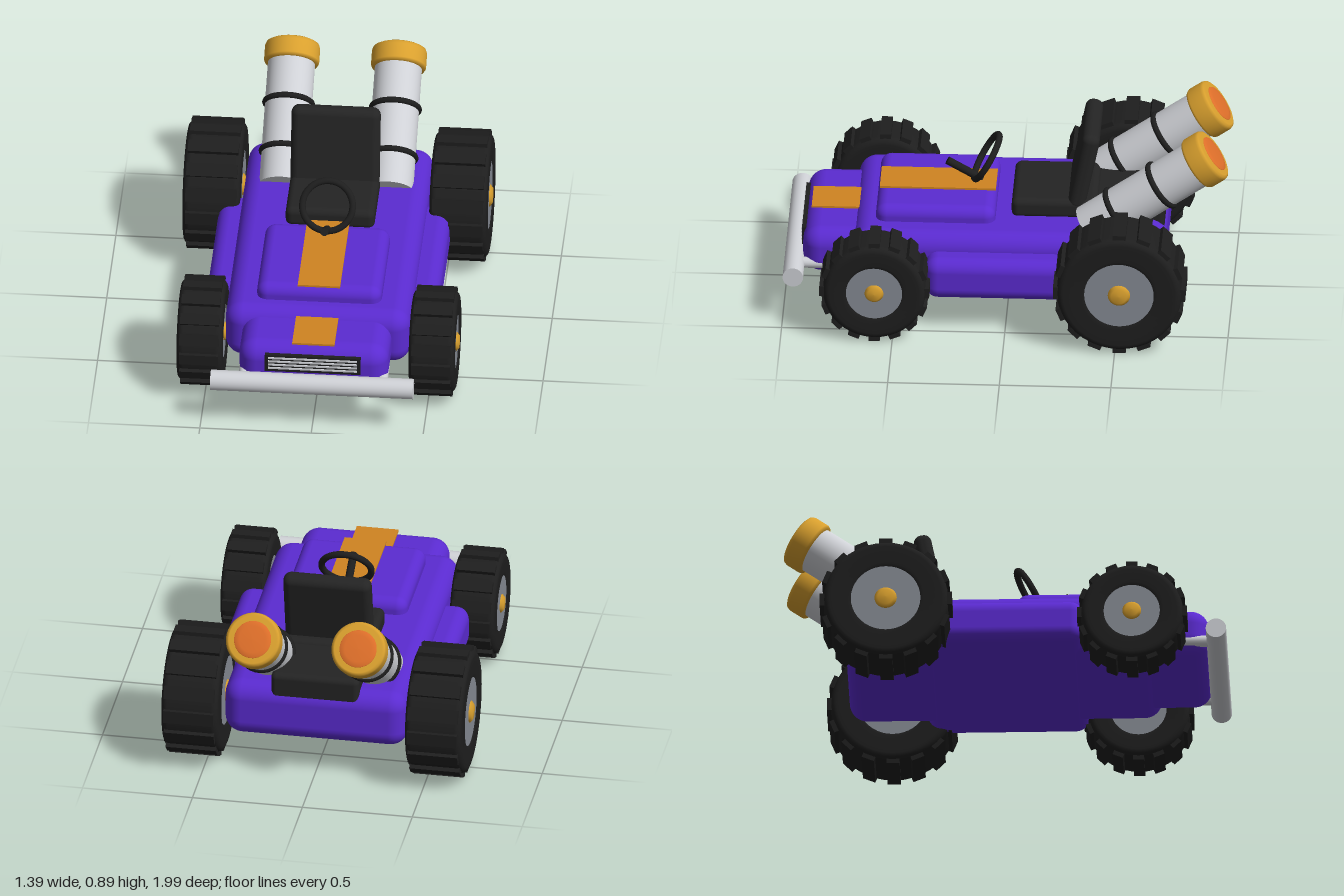
import * as THREE from 'three';
import { RoundedBoxGeometry } from 'three/addons/geometries/RoundedBoxGeometry.js';

const mat = (name, color) => {
  const m = new THREE.MeshStandardMaterial({ color });
  m.name = name;
  return m;
};

export function createModel() {
  const kart = new THREE.Group();
  kart.name = 'kart';

  const purple = mat('purple paint', 0x5b2bd1);
  const rubber = mat('black rubber', 0x1e1e1e);
  const seatBlack = mat('seat black', 0x242424);
  const silver = mat('silver', 0xcfd1d6);
  const steel = mat('rim steel', 0x868b94);
  const gold = mat('gold', 0xd9a02e);
  const stripeOrange = mat('stripe orange', 0xd08422);
  const flame = mat('flame orange', 0xe0702a);

  const add = (name, geo, material, x = 0, y = 0, z = 0, parent = kart) => {
    const m = new THREE.Mesh(geo, material);
    m.name = name;
    m.position.set(x, y, z);
    parent.add(m);
    return m;
  };
  // Rounded box given by half width and its y and z ranges
  const block = (name, material, hx, y0, y1, z0, z1, r) =>
    add(name, new RoundedBoxGeometry(hx * 2, y1 - y0, z1 - z0, 5, r), material, 0, (y0 + y1) / 2, (z0 + z1) / 2);
  const plate = (name, material, hx, y0, y1, z0, z1) =>
    add(name, new THREE.BoxGeometry(hx * 2, y1 - y0, z1 - z0), material, 0, (y0 + y1) / 2, (z0 + z1) / 2);
  const lathe = (pts) => new THREE.LatheGeometry(pts.map(([r, y]) => new THREE.Vector2(r, y)), 40);

  // Bodywork
  block('chassis', purple, 0.415, 0.168, 0.435, -0.71, 0.69, 0.08);
  block('sidePods', purple, 0.52, 0.163, 0.36, -0.36, 0.36, 0.06);
  block('nose', purple, 0.335, 0.18, 0.398, 0.42, 0.915, 0.08);
  block('hood', purple, 0.28, 0.36, 0.505, 0.055, 0.59, 0.05);
  plate('hoodStripe', stripeOrange, 0.095, 0.506, 0.515, 0.06, 0.58);
  plate('noseStripe', stripeOrange, 0.095, 0.398, 0.407, 0.65, 0.885);

  // Grille with slats
  plate('grille', rubber, 0.215, 0.275, 0.36, 0.88, 0.923);
  for (let i = 0; i < 4; i++) {
    const y = 0.29 + i * 0.0175;
    plate('grilleSlat', silver, 0.2, y, y + 0.008, 0.92, 0.928);
  }

  // Front bumper and its brackets
  add('bumper', new THREE.CylinderGeometry(0.046, 0.046, 0.91, 28), silver, 0, 0.233, 0.952).rotation.z = Math.PI / 2;
  for (const s of [1, -1])
    add('bumperBracket', new THREE.CylinderGeometry(0.025, 0.025, 0.18, 16), silver, s * 0.31, 0.235, 0.87).rotation.x = Math.PI / 2;

  // Seat and engine cover
  block('seatBase', seatBlack, 0.2, 0.42, 0.515, -0.4, -0.015, 0.03);
  const back = block('seatBack', seatBlack, 0.2, -0.19, 0.19, -0.04, 0.04, 0.035);
  back.position.set(0, 0.652, -0.338);
  back.rotation.x = -0.2;
  block('engineCover', seatBlack, 0.2, 0.36, 0.5, -0.7, -0.38, 0.025);

  // Steering wheel and column
  const tilt = Math.atan2(0.115, 0.2);
  add('steeringWheel', new THREE.TorusGeometry(0.113, 0.015, 12, 40), rubber, 0, 0.626, 0.105).rotation.x = -tilt;
  add('steeringColumn', new THREE.CylinderGeometry(0.018, 0.018, 0.18, 16), rubber, 0, 0.558, 0.203).rotation.x = Math.PI / 3;

  // Wheels: tyre, lugs, rim and hub, built along y and turned onto the axle
  const wheel = (name, x, z, R, w, rimR, hubR) => {
    const g = new THREE.Group();
    g.name = name;
    g.position.set(x, R, z);
    g.rotation.z = -Math.PI / 2;
    kart.add(g);
    const r = R - 0.018, h = w / 2, c = 0.03;
    const profile = [[rimR, -h + 0.006], [rimR + 0.015, -h]];
    for (let i = 0; i <= 5; i++) {
      const a = (i / 5) * Math.PI / 2;
      profile.push([r - c + c * Math.sin(a), -h + c - c * Math.cos(a)]);
    }
    const mirrored = profile.map(([px, py]) => [px, -py]).reverse();
    add('tyre', lathe([...profile, ...mirrored]), rubber, 0, 0, 0, g);
    add('rim', new THREE.CylinderGeometry(rimR, rimR, w - 0.012, 40), steel, 0, 0, 0, g);
    add('hubCap', lathe([[0, -h - 0.01], [hubR * 0.7, -h - 0.008], [hubR, -h + 0.004],
      [hubR, h - 0.004], [hubR * 0.7, h + 0.008], [0, h + 0.01]]), gold, 0, 0, 0, g);
    const lug = new THREE.BoxGeometry(0.04, w - 0.03, R * 0.2);
    const n = 16;
    for (let i = 0; i < n; i++) {
      const a = (i / n) * Math.PI * 2;
      const d = R - 0.022;
      add('treadLug', lug, rubber, d * Math.cos(a), 0, d * Math.sin(a), g).rotation.y = -a;
    }
  };
  for (const s of [1, -1]) {
    wheel('rearWheel', s * 0.554, -0.52, 0.298, 0.258, 0.156, 0.05);
    wheel('frontWheel', s * 0.521, 0.58, 0.248, 0.205, 0.126, 0.042);
  }

  // Twin exhausts leaning back, with bands, golden tips and glowing mouths
  for (const s of [1, -1]) {
    const g = new THREE.Group();
    g.name = 'exhaust';
    g.position.set(s * 0.24, 0.795, -0.925);
    g.rotation.x = -(Math.PI / 2 - 0.61);
    kart.add(g);
    add('exhaustPipe', new THREE.CylinderGeometry(0.106, 0.106, 0.64, 36), silver, 0, -0.36, 0, g);
    for (const y of [-0.287, -0.52])
      add('exhaustBand', new THREE.TorusGeometry(0.105, 0.014, 10, 36), rubber, 0, y, 0, g).rotation.x = Math.PI / 2;
    add('exhaustTip', lathe([[0.1, -0.098], [0.118, -0.096], [0.124, -0.085], [0.124, -0.02],
      [0.119, -0.006], [0.108, 0], [0, 0]]), gold, 0, 0, 0, g);
    add('exhaustGlow', lathe([[0.085, -0.002], [0.083, 0.004], [0.06, 0.008], [0, 0.009]]), flame, 0, 0, 0, g);
  }
  return kart;
}
